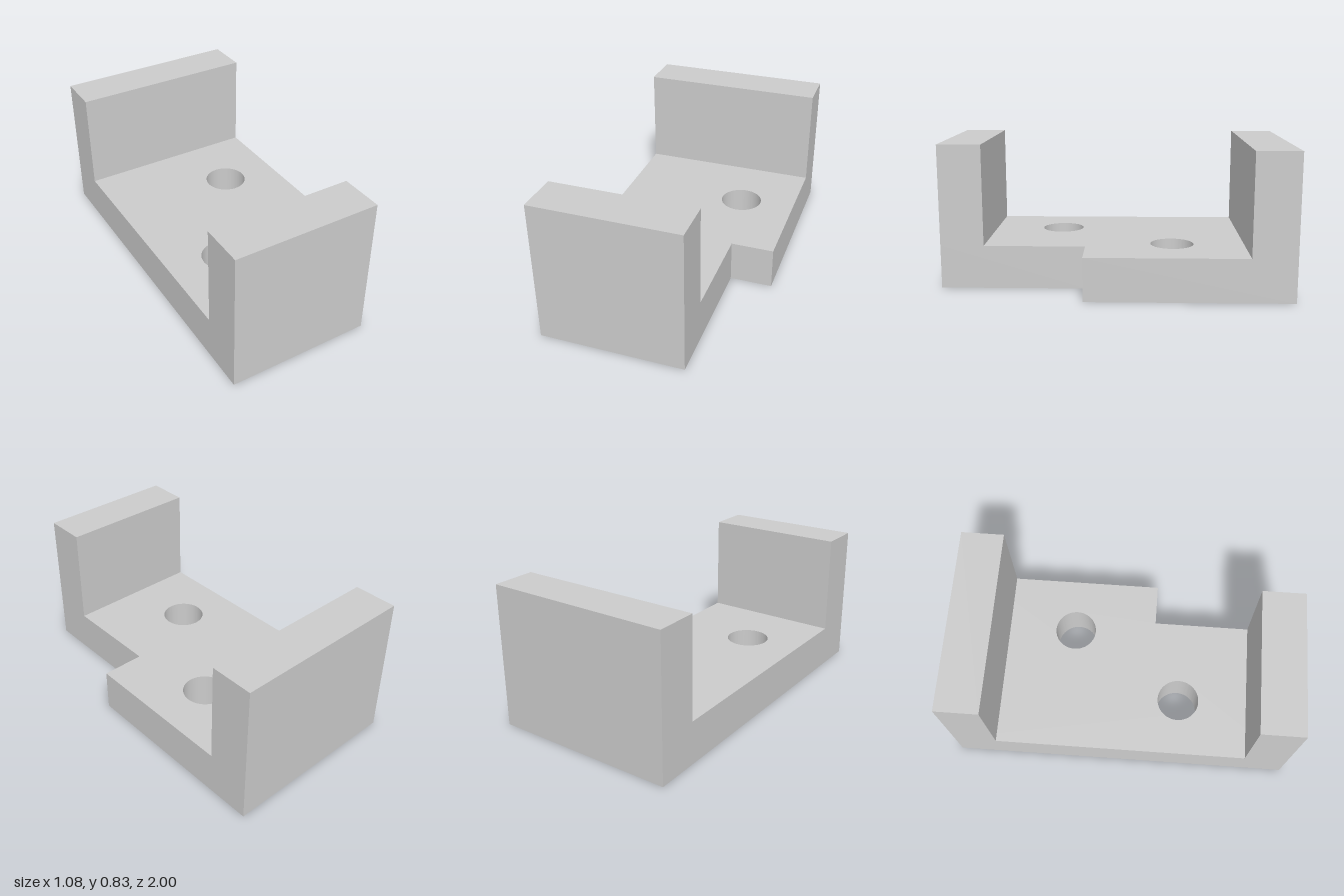
import * as THREE from 'three';
import { toCreasedNormals } from 'three/addons/utils/BufferGeometryUtils.js';

const HALF_W = 0.5417;   // half width in x
const NOTCH_X = 0.2917;  // side of the narrower front section
const NOTCH_Z = 0.1667;  // where the corner notch begins
const THICK = 0.25;      // plate and wall thickness
const HEIGHT = 0.8333;
const HOLE_R = 0.125;

export function createModel() {
  const group = new THREE.Group();
  const material = new THREE.MeshStandardMaterial({ color: 0xcccccc });

  const add = (name, geometry) => {
    const mesh = new THREE.Mesh(geometry, material);
    mesh.name = name;
    group.add(mesh);
    return mesh;
  };

  // Base plate: notched outline with two through holes (shape y is -z)
  const outline = new THREE.Shape([
    [-HALF_W, -1], [NOTCH_X, -1], [NOTCH_X, -NOTCH_Z],
    [HALF_W, -NOTCH_Z], [HALF_W, 1], [-HALF_W, 1],
  ].map(([x, y]) => new THREE.Vector2(x, y)));
  for (const [x, z] of [[0.2083, -0.3333], [-0.2083, 0.3333]]) {
    outline.holes.push(new THREE.Path().absarc(x, -z, HOLE_R, 0, Math.PI * 2, true));
  }
  const plate = new THREE.ExtrudeGeometry(outline, {
    depth: THICK, bevelEnabled: false, curveSegments: 48,
  });
  plate.rotateX(-Math.PI / 2);
  add('basePlate', toCreasedNormals(plate, Math.PI / 6));

  // Upright end walls standing on the plate
  const addWall = (name, right, z) => {
    const wallHeight = HEIGHT - THICK;
    const wall = add(name, new THREE.BoxGeometry(right + HALF_W, wallHeight, THICK));
    wall.position.set((right - HALF_W) / 2, THICK + wallHeight / 2, z);
  };
  addWall('frontWall', NOTCH_X, 1 - THICK / 2);
  addWall('backWall', HALF_W, -1 + THICK / 2);

  return group;
}
